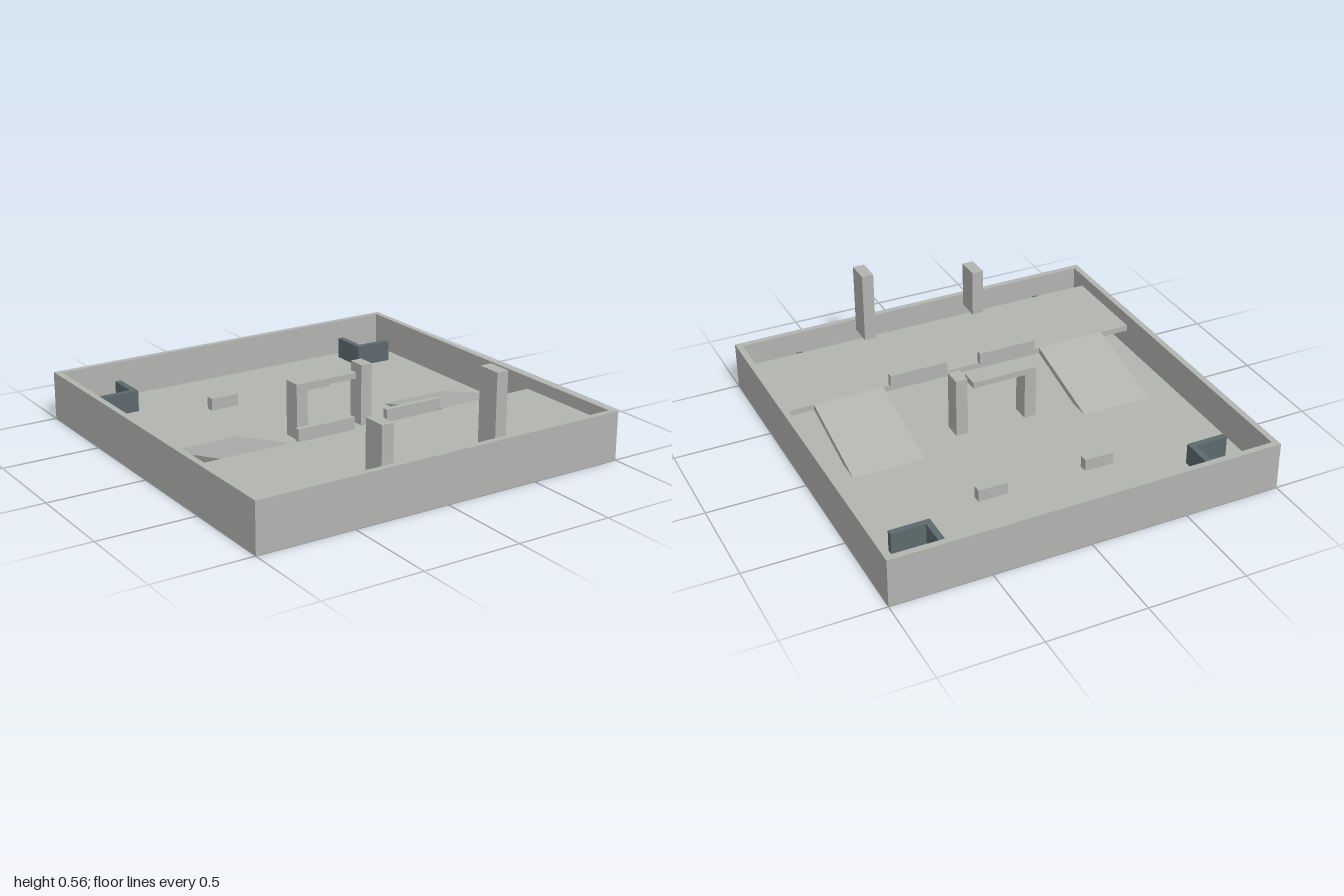
import * as THREE from 'three';

export function createModel() {
  const model = new THREE.Group();
  const concrete = new THREE.MeshStandardMaterial({ color: 0xb2b4b0 });
  concrete.name = 'light grey';
  const slate = new THREE.MeshStandardMaterial({ color: 0x5d696d });
  slate.name = 'slate grey';

  const U = 0.0625; // building module
  const FLOOR = U, DECK = 3 * U, RIM = 4 * U, T = U / 2;

  // Box given by its minimum and maximum on each axis
  function box(name, x0, x1, y0, y1, z0, z1, material = concrete) {
    const mesh = new THREE.Mesh(new THREE.BoxGeometry(x1 - x0, y1 - y0, z1 - z0), material);
    mesh.position.set((x0 + x1) / 2, (y0 + y1) / 2, (z0 + z1) / 2);
    mesh.name = name;
    model.add(mesh);
    return mesh;
  }

  // Base slab and the wall ring around it
  box('base', -1, 1, 0, FLOOR, -1, 1);
  const ring = new THREE.Shape();
  const hole = new THREE.Path();
  const inner = 1 - T;
  ring.moveTo(-1, -1).lineTo(1, -1).lineTo(1, 1).lineTo(-1, 1).closePath();
  hole.moveTo(-inner, -inner).lineTo(-inner, inner).lineTo(inner, inner).lineTo(inner, -inner).closePath();
  ring.holes.push(hole);
  const wallGeometry = new THREE.ExtrudeGeometry(ring, { depth: RIM - FLOOR, bevelEnabled: false });
  wallGeometry.rotateX(-Math.PI / 2);
  const walls = new THREE.Mesh(wallGeometry, concrete);
  walls.position.y = FLOOR;
  walls.name = 'perimeterWalls';
  model.add(walls);

  // Raised deck near the front wall
  box('deck', -inner, inner, DECK - T, DECK, 0.375, 0.872);

  // Sloping slab profile, in (z, y), sinking into the floor at the low end
  const profile = new THREE.Shape();
  profile.moveTo(0.375, DECK).lineTo(-0.125, FLOOR).lineTo(-0.1, FLOOR - T / 2)
    .lineTo(-0.06, FLOOR - T / 2).lineTo(0.375, DECK - T).closePath();

  for (const s of [-1, 1]) {
    const side = s > 0 ? 'left' : 'right';
    const span = (a, b) => (s > 0 ? [a, b] : [-b, -a]);

    // Ramp from floor to deck
    const rampGeometry = new THREE.ExtrudeGeometry(profile, { depth: 0.37, bevelEnabled: false });
    rampGeometry.rotateY(-Math.PI / 2);
    const ramp = new THREE.Mesh(rampGeometry, concrete);
    ramp.position.x = s > 0 ? 0.808 : -0.44;
    ramp.name = side + 'Ramp';
    model.add(ramp);

    // Low barriers on the deck edge and on the floor
    box(side + 'DeckBarrier', ...span(0.092, 0.404), DECK, RIM, 0.36, 0.388);
    box(side + 'FloorBarrier', ...span(0.205, 0.358), FLOOR, 2 * U, -0.558, -0.514);

    // L-shaped corner screens, front pair reaching under the deck
    for (const f of [-1, 1]) {
      const end = f > 0 ? 'Front' : 'Back';
      const depth = (a, b) => (f > 0 ? [a, b] : [-b, -a]);
      const top = 2.75 * U;
      box(side + end + 'ScreenLong', ...span(0.672, 0.703), FLOOR, top, ...depth(0.711, 0.908), slate);
      box(side + end + 'ScreenCross', ...span(0.703, 0.875), FLOOR, top, ...depth(0.711, 0.742), slate);
    }
  }

  // Uneven pair of pillars by the front wall
  box('tallPillar', 0.282, 0.344, DECK, 9 * U, 0.845, inner);
  box('shortPillar', -0.344, -0.282, DECK, 7 * U, 0.845, inner);

  // Broken gateway in the centre: two posts and a beam resting on one
  box('gatePostLeft', 0.155, 0.217, FLOOR, 6 * U, -0.016, 0.077);
  box('gatePostRight', -0.219, -0.157, FLOOR, 5 * U, -0.016, 0.077);
  box('gateBeam', -0.219, 0.124, 5 * U, 5.5 * U, -0.016, 0.077);

  return model;
}
